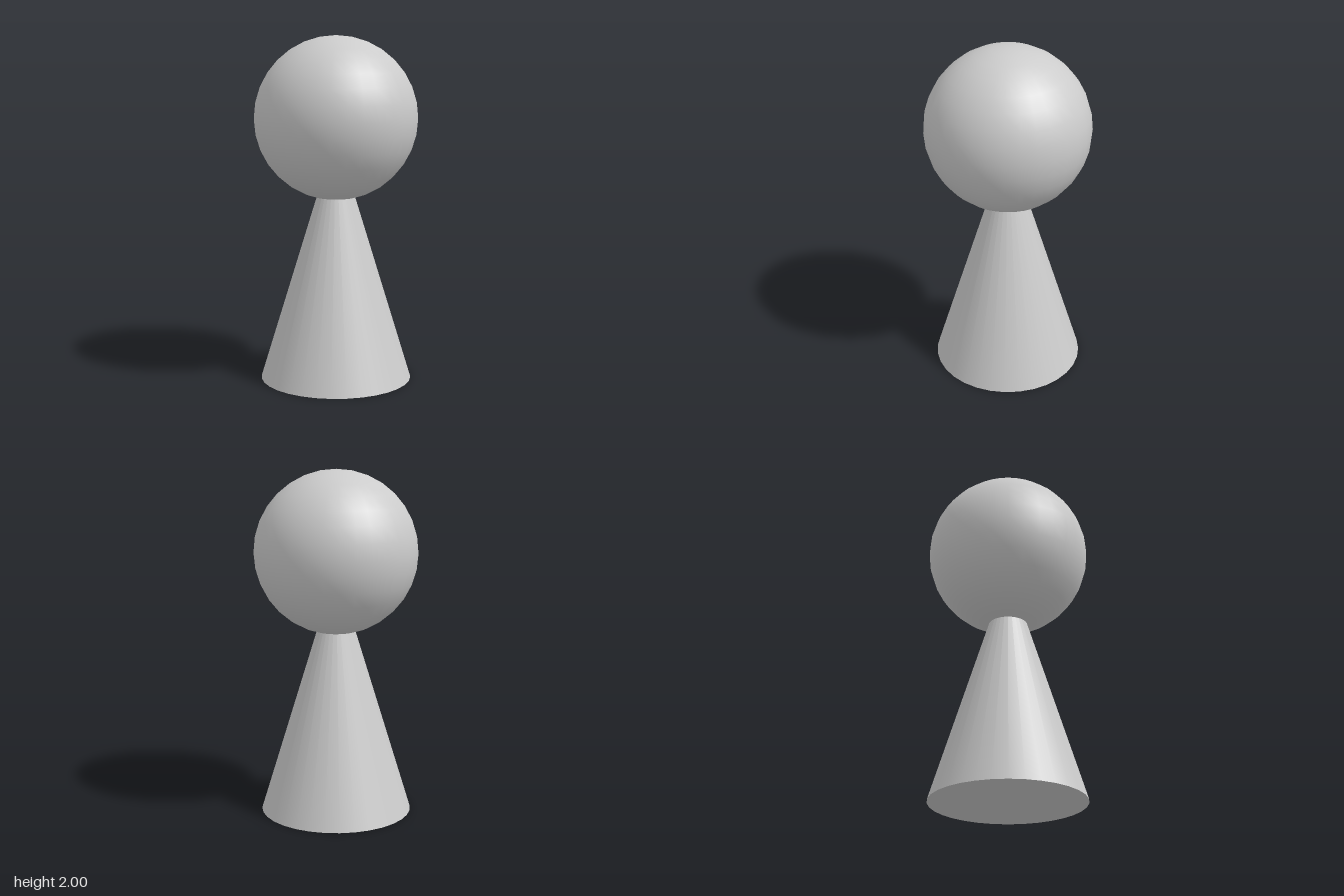
import * as THREE from 'three';

export function createModel() {
  const group = new THREE.Group();
  const material = new THREE.MeshStandardMaterial({ color: 0xcccccc });

  const addPart = (name, geometry, y) => {
    const mesh = new THREE.Mesh(geometry, material);
    mesh.name = name;
    mesh.position.y = y;
    group.add(mesh);
  };

  // Cone body, its tip hidden inside the head
  const bodyHeight = 1.435;
  addPart('body', new THREE.ConeGeometry(0.442, bodyHeight, 32), bodyHeight / 2);

  // Round head
  const headRadius = 0.472;
  addPart('head', new THREE.SphereGeometry(headRadius, 32, 16), 2 - headRadius);

  return group;
}
